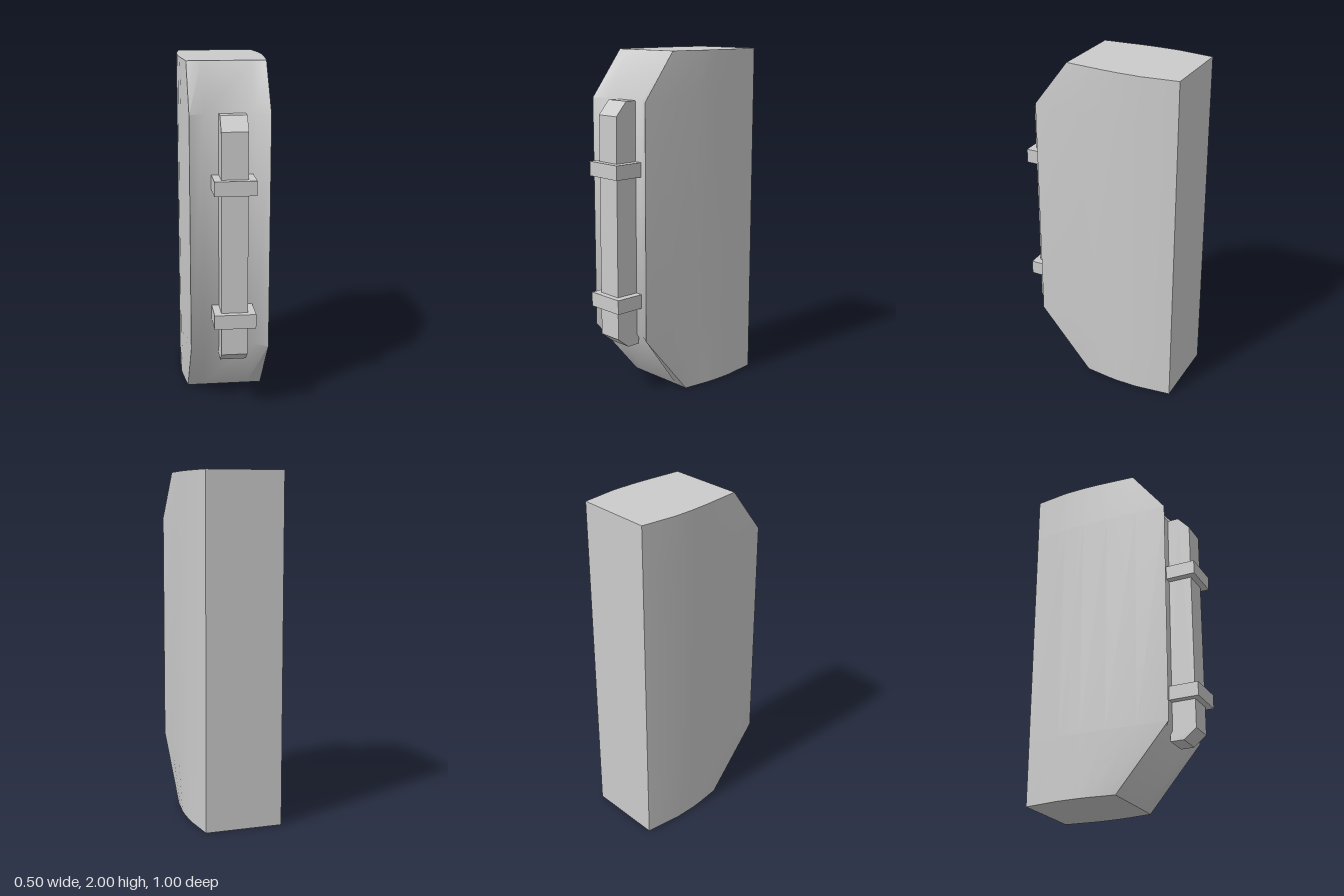
import * as THREE from 'three';
import { toCreasedNormals } from 'three/addons/utils/BufferGeometryUtils.js';

const material = new THREE.MeshStandardMaterial({ color: 0xcccccc });

function addPart(group, name, geometry) {
  const mesh = new THREE.Mesh(geometry, material);
  mesh.name = name;
  group.add(mesh);
  return mesh;
}

// Plan outline at one height, counterclockwise from above, starting left of the front middle
function section(y, front, recess) {
  const half = [
    [0.14, front - recess], [0.225, front],
    [0.235, -0.16 + (front + 0.16) * 0.65], [0.245, -0.16 + (front + 0.16) * 0.3],
    [0.25, -0.16], [0.25, -0.29], [0.225, -0.5],
  ];
  const mirrored = half.map(([x, z]) => [-x, z]).reverse();
  return [...half, ...mirrored].map(([x, z]) => new THREE.Vector3(x, y, z));
}

// Skin through the sections, with flat ends
function loft(sections) {
  const positions = [];
  const face = (...points) => points.forEach((p) => positions.push(p.x, p.y, p.z));
  const n = sections[0].length;
  const last = sections.length - 1;
  const bottom = new THREE.Vector3(0, sections[0][0].y, -0.2);
  const top = new THREE.Vector3(0, sections[last][0].y, -0.2);
  for (let i = 0; i < n; i++) {
    const j = (i + 1) % n;
    for (let k = 0; k < last; k++) {
      const [a, b, c, d] = [sections[k][i], sections[k][j], sections[k + 1][j], sections[k + 1][i]];
      face(a, b, c);
      face(a, c, d);
    }
    face(bottom, sections[0][j], sections[0][i]);
    face(top, sections[last][i], sections[last][j]);
  }
  const geometry = new THREE.BufferGeometry();
  geometry.setAttribute('position', new THREE.Float32BufferAttribute(positions, 3));
  return toCreasedNormals(geometry, 0.8);
}

export function createModel() {
  const group = new THREE.Group();
  group.name = 'pouch';

  // Tall body with sloped front ends and a shallow front channel
  addPart(group, 'body', loft([
    section(0, 0.055, 0),
    section(0.37, 0.372, 0.048),
    section(1.73, 0.372, 0.048),
    section(2, 0.165, 0),
  ]));

  // Vertical strap with bevelled ends, slightly off centre
  const profile = new THREE.Shape([
    [0.31, 0.31], [0.39, 0.31], [0.465, 0.37], [0.462, 1.65], [0.39, 1.73], [0.31, 1.73],
  ].map(([z, y]) => new THREE.Vector2(z, y)));
  const strap = new THREE.ExtrudeGeometry(profile, { depth: 0.15, bevelEnabled: false });
  strap.rotateY(-Math.PI / 2).translate(0.09, 0, 0);
  addPart(group, 'strap', strap);

  // Bands around the strap
  [['lowerBand', 0.58], ['upperBand', 1.347]].forEach(([name, y]) => {
    addPart(group, name, new THREE.BoxGeometry(0.235, 0.083, 0.18)).position.set(0.016, y, 0.41);
  });

  return group;
}
